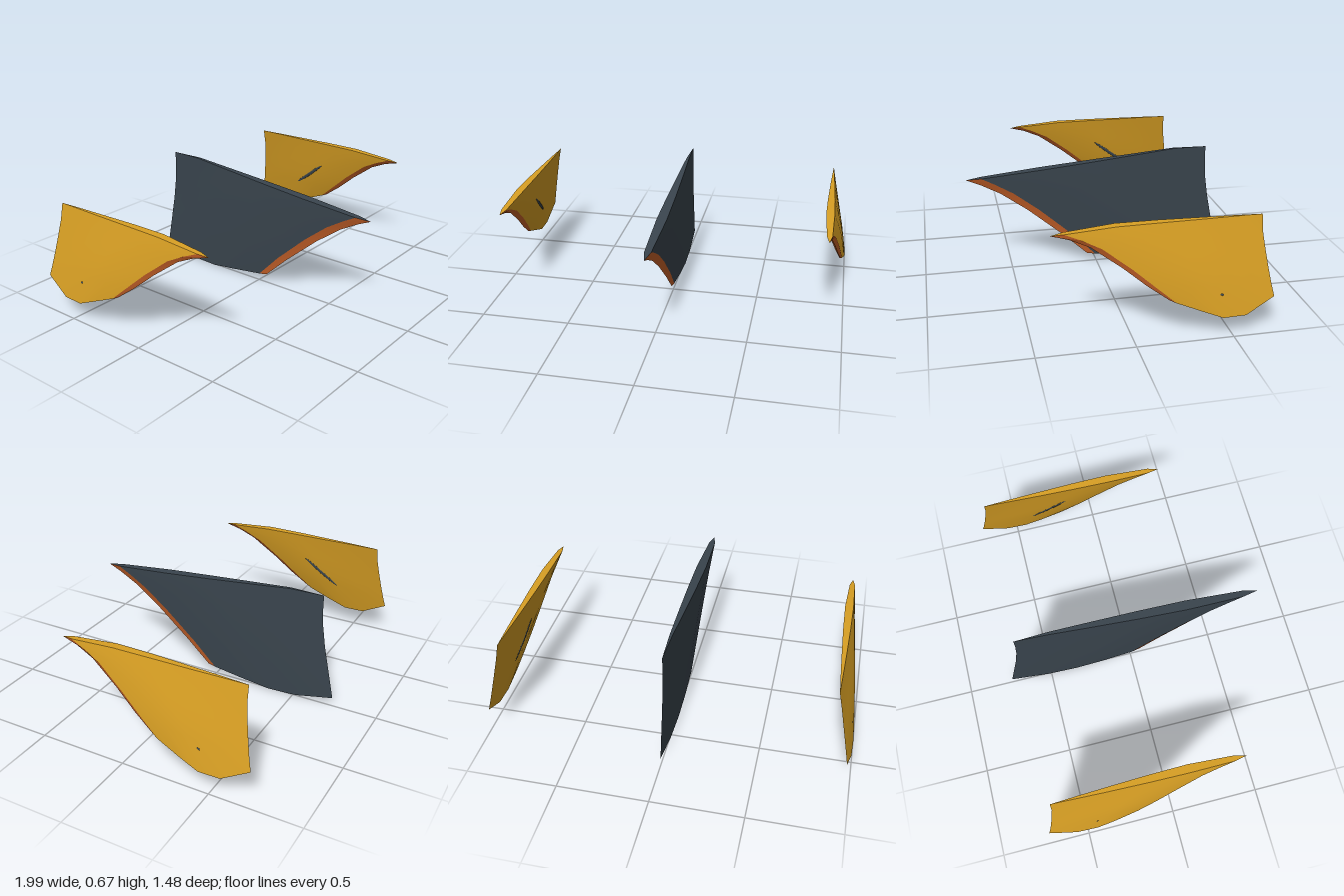
import * as THREE from 'three';
import { toCreasedNormals } from 'three/addons/utils/BufferGeometryUtils.js';

const material = (name, color) => {
  const m = new THREE.MeshStandardMaterial({ color });
  m.name = name;
  return m;
};

// Chord stations from leading to trailing edge, and the foil half thickness there
const CHORD = [0, 0.06, 0.3, 0.5, 0.72, 0.86, 1];
const HALF = [0, 0.018, 0.028, 0.024, 0.015, 0.008, 0];

// Rows run from base to tip: [leading z, leading y, trailing z, trailing y, thickness scale]
const CENTRE = {
  rows: [
    [0.74, 0.565, -0.65, 0.675, 1], [0.66, 0.53, -0.65, 0.59, 1],
    [0.55, 0.47, -0.657, 0.49, 0.95], [0.4, 0.36, -0.675, 0.37, 0.85],
    [0.2, 0.19, -0.71, 0.2, 0.65], [0.055, 0.055, -0.74, 0.055, 0.38],
  ],
  baseBulge: [0, 0.001, 0.006, 0.009, 0.013, 0.016, 0],
  tipBulge: [0, -0.006, -0.03, -0.05, -0.045, -0.022, 0],
  centreX: () => 0,
};
const SIDE = {
  rows: [
    [0.4, 0.585, -0.65, 0.61, 0.82], [0.31, 0.56, -0.652, 0.52, 0.88],
    [0.21, 0.515, -0.665, 0.43, 0.9], [0.06, 0.405, -0.68, 0.34, 0.9],
    [-0.06, 0.305, -0.695, 0.26, 0.75], [-0.17, 0.225, -0.71, 0.195, 0.4],
  ],
  baseBulge: [0, 0.006, 0.02, 0.016, 0.009, 0.005, 0],
  tipBulge: [0, -0.012, -0.057, -0.095, -0.088, -0.044, 0],
};
// Side fins splay outwards towards the tip
const cantX = (y) => 0.885 + 0.205 * (0.61 - y);

function mesh(name, positions, mat) {
  const g = new THREE.BufferGeometry();
  g.setAttribute('position', new THREE.Float32BufferAttribute(positions, 3));
  const m = new THREE.Mesh(toCreasedNormals(g, Math.PI / 6), mat);
  m.name = name;
  return m;
}

function makeFin(name, spec, bodyMat, edgeMat) {
  const last = spec.rows.length - 1;
  const point = (j, i, side) => {
    const [lz, ly, tz, ty, scale] = spec.rows[j];
    const c = CHORD[i];
    let y = ly + (ty - ly) * c;
    if (j === 0) y += spec.baseBulge[i];
    if (j === last) y += spec.tipBulge[i];
    const x = spec.centreX(y) + side * HALF[i] * scale;
    return new THREE.Vector3(x, y, lz + (tz - lz) * c);
  };
  const body = [], edge = [];
  const tri = (out, a, b, c) => {
    if (new THREE.Triangle(a, b, c).getArea() < 1e-8) return;
    for (const p of [a, b, c]) out.push(p.x, p.y, p.z);
  };
  const quad = (out, a, b, c, d, flip) => {
    if (flip) [b, d] = [d, b];
    tri(out, a, b, c);
    tri(out, a, c, d);
  };
  for (let i = 0; i < CHORD.length - 1; i++) {
    // Both foil faces; the first strip is the bevelled leading edge
    for (let j = 0; j < last; j++) {
      for (const s of [1, -1]) {
        quad(i === 0 ? edge : body, point(j, i, s), point(j + 1, i, s),
          point(j + 1, i + 1, s), point(j, i + 1, s), s < 0);
      }
    }
    // Base and tip caps
    quad(body, point(0, i, 1), point(0, i + 1, 1), point(0, i + 1, -1), point(0, i, -1), false);
    quad(i < 3 ? edge : body, point(last, i, 1), point(last, i + 1, 1),
      point(last, i + 1, -1), point(last, i, -1), true);
  }
  const fin = new THREE.Group();
  fin.name = name;
  fin.add(mesh('finBody', body, bodyMat), mesh('leadingEdge', edge, edgeMat));
  return fin;
}

// Slim lens lying along a line on a fin face
function makeSliver(name, from, to, width, depth, mat) {
  const along = to.clone().sub(from);
  const m = new THREE.Mesh(new THREE.SphereGeometry(1, 16, 10), mat);
  m.name = name;
  m.scale.set(along.length() / 2, width, depth);
  m.position.copy(from).add(to).multiplyScalar(0.5);
  const u = along.normalize();
  const n = new THREE.Vector3(1, 0, 0).addScaledVector(u, -u.x).normalize();
  const v = n.clone().cross(u);
  m.quaternion.setFromRotationMatrix(new THREE.Matrix4().makeBasis(u, v, n));
  return m;
}

export function createModel() {
  const slate = material('slate', 0x3a454e);
  const gold = material('gold', 0xd9a024);
  const orange = material('orange', 0xcc642a);

  const model = new THREE.Group();
  model.name = 'finSet';
  model.add(makeFin('centreFin', CENTRE, slate, orange));

  for (const s of [1, -1]) {
    const spec = { ...SIDE, centreX: (y) => s * cantX(y) };
    const fin = makeFin(s > 0 ? 'leftFin' : 'rightFin', spec, gold, orange);
    const at = (z, y, offset) => new THREE.Vector3(s * (cantX(y) + offset), y, z);
    // Dark slit on the inner face and its small end on the outer face
    fin.add(
      makeSliver('innerSlit', at(-0.17, 0.45, -0.023), at(-0.39, 0.28, -0.017), 0.011, 0.005, slate),
      makeSliver('outerSlit', at(-0.422, 0.238, 0.012), at(-0.444, 0.23, 0.011), 0.006, 0.005, slate),
    );
    model.add(fin);
  }
  return model;
}
